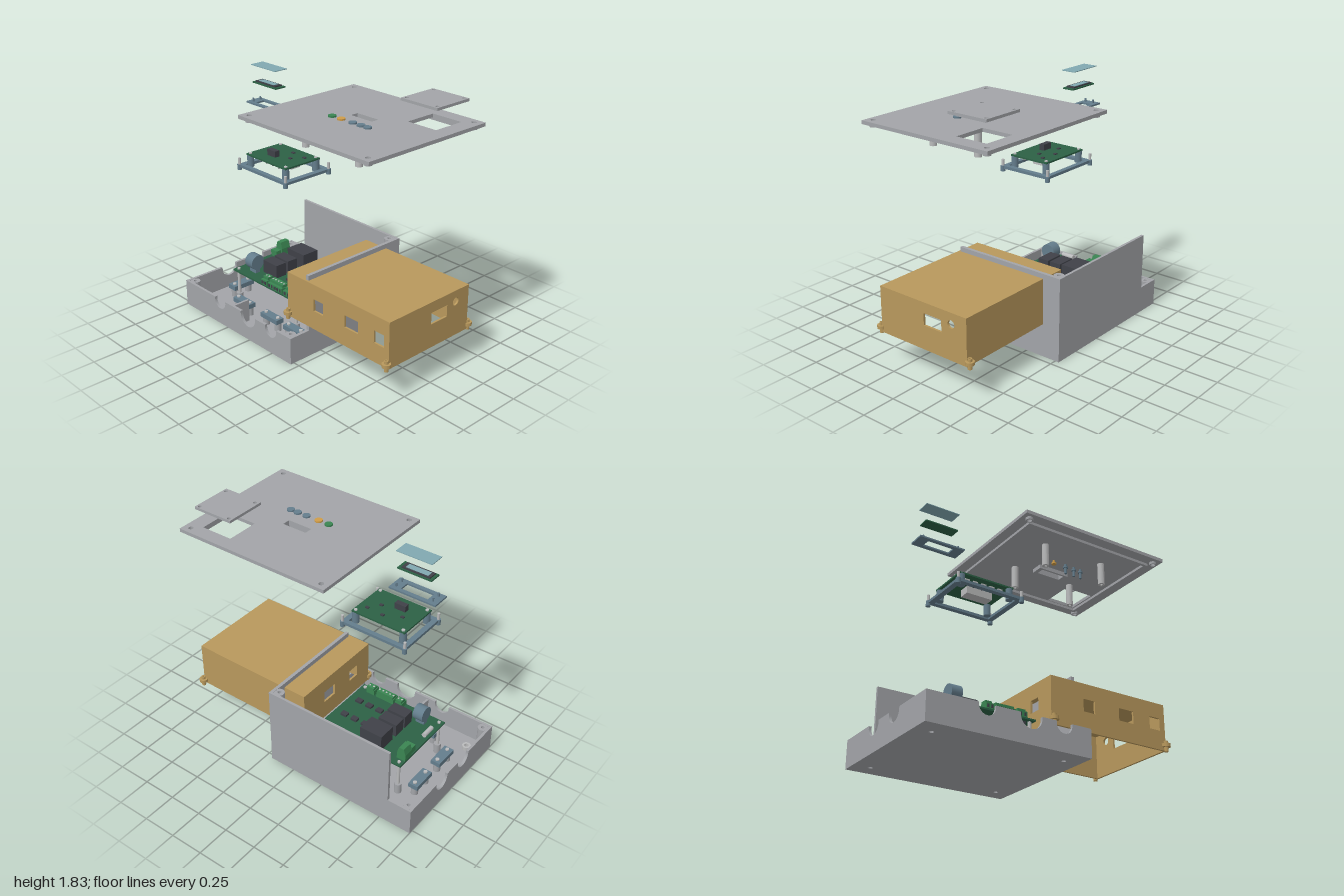
import * as THREE from 'three';

const M = {};
for (const [name, hex] of Object.entries({
  caseGrey: 0xa2a4a8, coverTan: 0xb8985c, boardGreen: 0x2c6145, terminalGreen: 0x3a8552, chipDark: 0x3f4148,
  slateBlue: 0x647d8c, glassBlue: 0x80a8b0, amber: 0xcf9c48, metalGrey: 0xb9babb,
})) M[name] = new THREE.MeshStandardMaterial({ color: hex, name });

let group;
function add(name, geo, mat) {
  const mesh = new THREE.Mesh(geo, mat);
  mesh.name = name;
  group.add(mesh);
  return mesh;
}
function part(root, name) {
  group = new THREE.Group();
  group.name = name;
  root.add(group);
}
function box(name, mat, x0, x1, y0, y1, z0, z1) {
  const g = new THREE.BoxGeometry(x1 - x0, y1 - y0, z1 - z0);
  return add(name, g.translate((x0 + x1) / 2, (y0 + y1) / 2, (z0 + z1) / 2), mat);
}
function cyl(name, mat, x, z, r, y0, y1) {
  return add(name, new THREE.CylinderGeometry(r, r, y1 - y0, 24).translate(x, (y0 + y1) / 2, z), mat);
}
// Hole outlines
const rect = (a, b, c, d) => new THREE.Path([[a, c], [b, c], [b, d], [a, d]].map(p => new THREE.Vector2(...p)));
const disc = (x, y, r) => new THREE.Path().absarc(x, y, r, 0, Math.PI * 2, true);
const outline = (a, b, c, d) => new THREE.Shape(rect(a, b, c, d).getPoints());
function slab(shape, holes, depth) {
  shape.holes.push(...holes);
  return new THREE.ExtrudeGeometry(shape, { depth, bevelEnabled: false, curveSegments: 12 });
}
// Horizontal plate (x, z), front wall (x, y) and side wall (z, y), each with holes
const plate = (name, mat, shape, y0, y1, holes = []) =>
  add(name, slab(shape, holes, y1 - y0).rotateX(Math.PI / 2).translate(0, y1, 0), mat);
const frontWall = (name, mat, shape, z0, z1, holes = []) =>
  add(name, slab(shape, holes, z1 - z0).translate(0, 0, z0), mat);
const sideWall = (name, mat, shape, x0, x1, holes = []) =>
  add(name, slab(shape, holes, x1 - x0).rotateY(-Math.PI / 2).translate(x1, 0, 0), mat);
function tube(name, mat, x, z, r, inner, y0, y1) {
  const s = new THREE.Shape().absarc(x, z, r, 0, Math.PI * 2, false);
  return plate(name, mat, s, y0, y1, [disc(x, z, inner)]);
}
// Low wall with round notches [centre, radius] in its top edge
function notched(a, b, top, notches) {
  const s = new THREE.Shape().moveTo(a, 0);
  s.lineTo(b, 0).lineTo(b, top);
  for (const [c, r] of [...notches].reverse()) {
    s.lineTo(c + r, top);
    s.absarc(c, top - 0.015, r, 0, Math.PI, true);
    s.lineTo(c - r, top);
  }
  s.lineTo(a, top);
  return s;
}

function enclosure(root) {
  part(root, 'caseBase');
  const g = M.caseGrey, ends = [-0.41, 0.39];
  const holes = ends.flatMap(z => [disc(-0.88, z, 0.016), disc(0.08, z, 0.016)]);
  plate('floor', g, outline(-1, 0.2, -0.53, 0.53), 0, 0.02, holes);
  frontWall('frontWall', g, notched(-1, 0.2, 0.2, [[-0.58, 0.06], [-0.26, 0.08], [-0.01, 0.06]]), 0.51, 0.53);
  sideWall('lowSideWall', g, notched(-0.51, 0.51, 0.2, [[-0.145, 0.068], [0.13, 0.068]]), -1, -0.98);
  const step = (a, b, c, d) => new THREE.Shape([[a, 0], [b, 0], [b, c], [d, c], [d, 0.62], [b === 0.2 ? 0.2 : a, 0.62]]
    .map(p => new THREE.Vector2(...p)));
  const back = new THREE.Shape([[-1, 0], [0.2, 0], [0.2, 0.62], [-0.815, 0.62], [-0.815, 0.2], [-1, 0.2]]
    .map(p => new THREE.Vector2(...p)));
  frontWall('backWall', g, back, -0.53, -0.51);
  sideWall('tallSideWall', g, step(-0.51, 0.51, 0.2, 0.36), 0.175, 0.2);
  box('divider', g, -0.463, -0.445, 0.02, 0.19, 0.37, 0.51);
  // Corner screw posts and floor bosses
  for (const [x, z, top] of [[-0.95, -0.48, 0.2], [-0.95, 0.48, 0.2], [0.145, 0.48, 0.2], [0.145, -0.48, 0.62]])
    tube('cornerPost', g, x, z, 0.037, 0.013, 0.02, top - 0.002);
  for (const z of ends) for (const x of [-0.88, 0.08]) tube('floorBoss', M.metalGrey, x, z, 0.032, 0.016, 0.02, 0.05);
  // Cable clamps
  part(root, 'cableClamps');
  const clamp = (x0, x1, z0, z1) => {
    box('clampBar', M.slateBlue, x0, x1, 0.08, 0.115, z0, z1);
    const cx = (x0 + x1) / 2, cz = (z0 + z1) / 2, alongX = x1 - x0 > z1 - z0;
    for (const s of [-0.065, 0.065]) {
      const x = cx + (alongX ? s : 0), z = cz + (alongX ? 0 : s);
      cyl('clampPost', g, x, z, 0.026, 0.02, 0.08);
      cyl('clampScrew', M.metalGrey, x, z, 0.014, 0.115, 0.125);
    }
  };
  clamp(-0.865, -0.79, -0.24, -0.055);
  clamp(-0.865, -0.79, 0.045, 0.23);
  for (const x of [-0.67, -0.35, -0.1]) clamp(x, x + 0.18, 0.275, 0.34);
}

function mainBoard(root) {
  part(root, 'mainBoard');
  box('circuitBoard', M.boardGreen, -0.755, -0.045, 0.283, 0.295, -0.3, 0.265);
  for (const x of [-0.725, -0.075]) for (const z of [-0.27, 0.235]) {
    cyl('standoff', M.metalGrey, x, z, 0.012, 0.1, 0.305);
    cyl('standoffBoss', M.caseGrey, x, z, 0.026, 0.02, 0.1);
  }
  // Terminal blocks with wire entries and screws
  const terminal = (x0, x1, z0, z1, n) => {
    box('terminalBlock', M.terminalGreen, x0, x1, 0.295, 0.335, z0, z1);
    box('terminalTop', M.terminalGreen, x0 + 0.005, x1 - 0.005, 0.335, 0.355, z0, z1 - 0.018);
    for (let i = 0; i < n; i++) {
      const x = x0 + (x1 - x0) * (i + 0.5) / n;
      box('wireEntry', M.chipDark, x - 0.008, x + 0.008, 0.302, 0.326, z1, z1 + 0.003);
      cyl('terminalScrew', M.metalGrey, x, (z0 + z1) / 2 - 0.008, 0.007, 0.355, 0.358);
    }
  };
  terminal(-0.425, -0.365, 0.2, 0.265, 2);
  terminal(-0.35, -0.2, 0.2, 0.265, 5);
  terminal(-0.18, -0.11, 0.2, 0.265, 2);
  const taper = new THREE.Shape([[-0.755, 0.295], [-0.685, 0.295], [-0.685, 0.345], [-0.7, 0.395], [-0.74, 0.395], [-0.755, 0.345]]
    .map(p => new THREE.Vector2(...p)));
  frontWall('powerTerminal', M.terminalGreen, taper, -0.24, -0.16);
  box('smallTerminal', M.terminalGreen, -0.745, -0.68, 0.295, 0.345, -0.145, -0.1);
  // Relays, capacitor, fuse and small parts
  box('transformer', M.chipDark, -0.56, -0.38, 0.295, 0.415, -0.25, -0.11);
  for (const z of [-0.07, 0.04]) box('relay', M.chipDark, -0.56, -0.41, 0.295, 0.395, z, z + 0.09);
  const cap = new THREE.CylinderGeometry(0.058, 0.058, 0.08, 32).rotateZ(Math.PI / 2);
  add('capacitor', cap.translate(-0.615, 0.38, 0.17), M.slateBlue);
  box('capacitorFoot', M.slateBlue, -0.65, -0.58, 0.295, 0.335, 0.15, 0.19);
  add('fuse', new THREE.CylinderGeometry(0.018, 0.018, 0.1, 16).rotateX(Math.PI / 2).translate(-0.725, 0.32, 0.085), M.metalGrey);
  for (let i = 0; i < 6; i++)
    box('smallChip', M.chipDark, -0.34 + (i % 3) * 0.09, -0.29 + (i % 3) * 0.09, 0.295, 0.312, i < 3 ? -0.12 : 0.06, i < 3 ? -0.08 : 0.1);
  for (const x of [-0.3, -0.21, -0.14]) box('undersideParts', M.chipDark, x, x + 0.04, 0.268, 0.283, 0.18, 0.23);
}

function cover(root) {
  part(root, 'sideCover');
  const t = M.coverTan, y0 = 0.245, y1 = 0.585;
  box('coverTop', t, 0, 0.97, 0.57, y1, -0.39, 0.375);
  frontWall('coverFront', t, outline(0, 0.97, y0, 0.57), 0.36, 0.375,
    [[0.265, 0.36], [0.565, 0.69], [0.835, 0.925]].map(([a, b]) => rect(a, b, 0.385, 0.475)));
  box('coverBack', t, 0, 0.97, y0, 0.57, -0.39, -0.375);
  sideWall('coverEnd', t, outline(-0.375, 0.36, y0, 0.57), 0.955, 0.97, [rect(-0.175, -0.02, 0.42, 0.507), disc(-0.26, 0.503, 0.029)]);
  sideWall('coverInnerEnd', t, outline(-0.375, 0.36, y0, 0.57), 0, 0.015, [rect(0.14, 0.23, 0.385, 0.475), rect(-0.16, -0.04, 0.385, 0.475)]);
  for (const x of [0.015, 0.962]) for (const z of [-0.408, 0.388]) {
    tube('mountEar', t, x, z, 0.031, 0.012, 0.268, 0.292);
    tube('mountPin', t, x, z, 0.015, 0.008, 0.235, 0.312);
  }
}

function lid(root) {
  part(root, 'lid');
  const g = M.caseGrey, corners = [[-0.235, -0.48], [-0.235, 0.48], [0.86, -0.48], [0.86, 0.48]];
  const hatchHoles = [0.552, 0.808].flatMap(x => [-0.432, -0.176].map(z => [x, z]));
  const opening = rect(0.56, 0.8, -0.425, -0.183);
  const buttons = [[0.155, M.terminalGreen, 1.575], [0.24, M.amber, 1.62], [0.345, M.slateBlue, 1.575], [0.42, M.slateBlue, 1.575], [0.48, M.slateBlue, 1.575]];
  plate('lidPlate', g, outline(-0.29, 0.915, -0.53, 0.53), 1.65, 1.675,
    [opening, rect(0.215, 0.405, -0.07, -0.01), ...corners.map(([x, z]) => disc(x, z, 0.018))]);
  plate('lidLip', g, outline(-0.215, 0.835, -0.45, 0.45), 1.63, 1.65, [rect(-0.19, 0.81, -0.43, 0.43)]);
  for (const [x, z] of corners) tube('cornerSleeve', g, x, z, 0.026, 0.018, 1.63, 1.65);
  plate('displayRim', g, outline(0.185, 0.435, -0.085, 0.005), 1.62, 1.65, [rect(0.215, 0.405, -0.07, -0.01)]);
  for (const x of [0.06, 0.557]) for (const z of [-0.14, 0.25]) tube('lidPillar', M.metalGrey, x, z, 0.025, 0.01, 1.48, 1.65);
  // Push buttons
  for (const [x, mat, low] of buttons) {
    cyl('buttonCap', mat, x, 0.102, 0.028, 1.67, 1.686);
    cyl('buttonStem', mat, x, 0.102, 0.01, low, 1.67);
    cyl('buttonCollar', mat, x, 0.102, 0.018, 1.62, 1.632);
  }
  // Access hatch lifted above its opening
  part(root, 'accessHatch');
  plate('hatchPlate', g, outline(0.525, 0.833, -0.453, -0.147), 1.815, 1.834, hatchHoles.map(([x, z]) => disc(x, z, 0.013)));
  plate('hatchLip', g, outline(0.563, 0.797, -0.417, -0.183), 1.8, 1.815, [rect(0.58, 0.78, -0.4, -0.2)]);
}

function electronics(root) {
  // Display: glass, module and holder
  part(root, 'display');
  box('displayGlass', M.glassBlue, -0.78, -0.515, 1.821, 1.826, -0.092, 0.018);
  box('displayBoard', M.boardGreen, -0.775, -0.52, 1.69, 1.699, -0.08, 0.01);
  box('displayModule', M.chipDark, -0.755, -0.545, 1.699, 1.708, -0.068, -0.002);
  box('displayWindow', M.glassBlue, -0.735, -0.57, 1.708, 1.71, -0.058, -0.014);
  plate('displayHolder', M.slateBlue, outline(-0.825, -0.475, 1.0, 1.0).copy(outline(-0.825, -0.475, -0.1, 0.032)), 1.535, 1.547, [rect(-0.75, -0.55, -0.07, 0.002)]);
  for (const x of [-0.785, -0.51]) for (const z of [-0.065, 0]) cyl('holderPin', M.slateBlue, x, z, 0.007, 1.547, 1.572);
  // Control board on its bracket
  part(root, 'controlBoard');
  const s = M.slateBlue;
  plate('bracketFrame', s, outline(-0.655, -0.14, -0.155, 0.26), 1.145, 1.165, [rect(-0.615, -0.18, -0.12, 0.225)]);
  for (const x of [-0.648, -0.148]) for (const z of [-0.148, 0.253]) {
    cyl('bracketFoot', s, x, z, 0.017, 1.125, 1.165);
    cyl('bracketPin', M.metalGrey, x, z, 0.01, 1.165, 1.212);
  }
  for (const x of [-0.592, -0.212]) for (const z of [-0.085, 0.195]) {
    cyl('boardPillar', s, x, z, 0.025, 1.15, 1.235);
    cyl('boardScrew', M.metalGrey, x, z, 0.012, 1.245, 1.252);
  }
  box('circuitBoard', M.boardGreen, -0.615, -0.19, 1.233, 1.245, -0.105, 0.215);
  box('pinHeader', M.chipDark, -0.49, -0.405, 1.245, 1.29, 0.085, 0.125);
  for (let i = 0; i < 5; i++) {
    const x = -0.545 + i * 0.065;
    box('switchBody', M.metalGrey, x, x + 0.035, 1.205, 1.233, 0.13, 0.17);
    cyl('switchTip', M.chipDark, x + 0.0175, 0.15, 0.009, 1.195, 1.205);
  }
  box('ribbonSocket', M.metalGrey, -0.48, -0.28, 1.18, 1.233, 0.005, 0.085);
  for (const [x, z] of [[-0.33, 0.05], [-0.27, -0.03], [-0.4, -0.04], [-0.52, 0.02]])
    box('smallChip', M.chipDark, x, x + 0.025, 1.245, 1.253, z, z + 0.02);
}

export function createModel() {
  const root = new THREE.Group();
  root.name = 'explodedEnclosure';
  for (const build of [enclosure, mainBoard, cover, lid, electronics]) build(root);
  return root;
}
